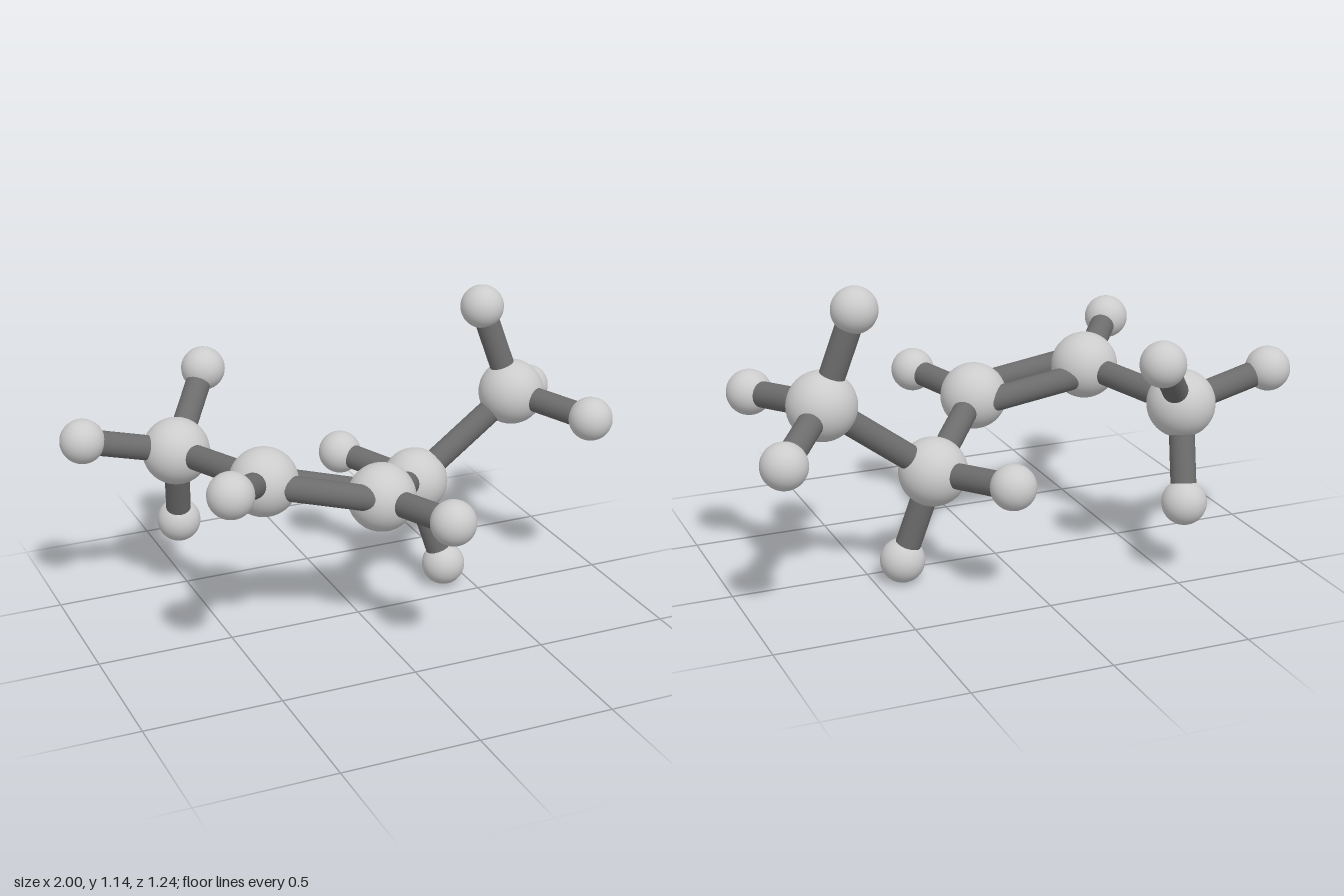
import * as THREE from 'three';

const CARBON_R = 0.123, HYDROGEN_R = 0.081, BOND_R = 0.046, DOUBLE_OFFSET = 0.065;

// Chain of carbons, each with the hydrogens attached to it
const CHAIN = [
  { at: [-0.575, 0.62, -0.338], h: [[-0.92, 0.71, -0.345], [-0.393, 0.845, -0.54], [-0.537, 0.29, -0.455]] },
  { at: [-0.41, 0.65, 0.12], h: [[-0.626, 0.743, 0.385]] },
  { at: [0, 0.555, 0.207], h: [[0.117, 0.573, 0.54]] },
  { at: [0.3, 0.424, -0.155], h: [[0.127, 0.45, -0.467], [0.4, 0.083, -0.102]] },
  { at: [0.7, 0.72, -0.157], h: [[0.592, 1.057, -0.204], [0.866, 0.695, 0.156], [0.915, 0.624, -0.42]] },
];
const DOUBLE_BOND = 1; // index of the carbon that starts the double bond

export function createModel() {
  const model = new THREE.Group();
  model.name = 'molecule';
  const atomMaterial = new THREE.MeshStandardMaterial({ color: 0xcccccc });
  const bondMaterial = new THREE.MeshStandardMaterial({ color: 0x6c6c6c });
  const carbonGeometry = new THREE.SphereGeometry(CARBON_R, 40, 28);
  const hydrogenGeometry = new THREE.SphereGeometry(HYDROGEN_R, 32, 22);
  const up = new THREE.Vector3(0, 1, 0);

  const addAtom = (name, geometry, position) => {
    const atom = new THREE.Mesh(geometry, atomMaterial);
    atom.name = name;
    atom.position.copy(position);
    model.add(atom);
  };

  // Cylinder between two atom centres, optionally shifted sideways
  const addBond = (name, a, b, shift = new THREE.Vector3()) => {
    const span = b.clone().sub(a);
    const bond = new THREE.Mesh(new THREE.CylinderGeometry(BOND_R, BOND_R, span.length(), 28), bondMaterial);
    bond.name = name;
    bond.position.copy(a).add(b).multiplyScalar(0.5).add(shift);
    bond.quaternion.setFromUnitVectors(up, span.normalize());
    model.add(bond);
  };

  const carbons = CHAIN.map((c) => new THREE.Vector3(...c.at));

  // Atoms and the bonds to hydrogen
  CHAIN.forEach((c, i) => {
    addAtom(`carbon${i + 1}`, carbonGeometry, carbons[i]);
    c.h.forEach((p, j) => {
      const hydrogen = new THREE.Vector3(...p);
      addAtom(`hydrogen${i + 1}_${j + 1}`, hydrogenGeometry, hydrogen);
      addBond(`hydrogenBond${i + 1}_${j + 1}`, carbons[i], hydrogen);
    });
  });

  // Carbon backbone; the double bond lies in the plane of its neighbours
  for (let i = 0; i < carbons.length - 1; i++) {
    const a = carbons[i], b = carbons[i + 1];
    if (i !== DOUBLE_BOND) {
      addBond(`carbonBond${i + 1}`, a, b);
      continue;
    }
    const axis = b.clone().sub(a).normalize();
    const side = carbons[i - 1].clone().add(carbons[i + 2]).sub(a).sub(b);
    side.addScaledVector(axis, -side.dot(axis)).setLength(DOUBLE_OFFSET);
    addBond('doubleBondInner', a, b, side);
    addBond('doubleBondOuter', a, b, side.clone().negate());
  }
  return model;
}
